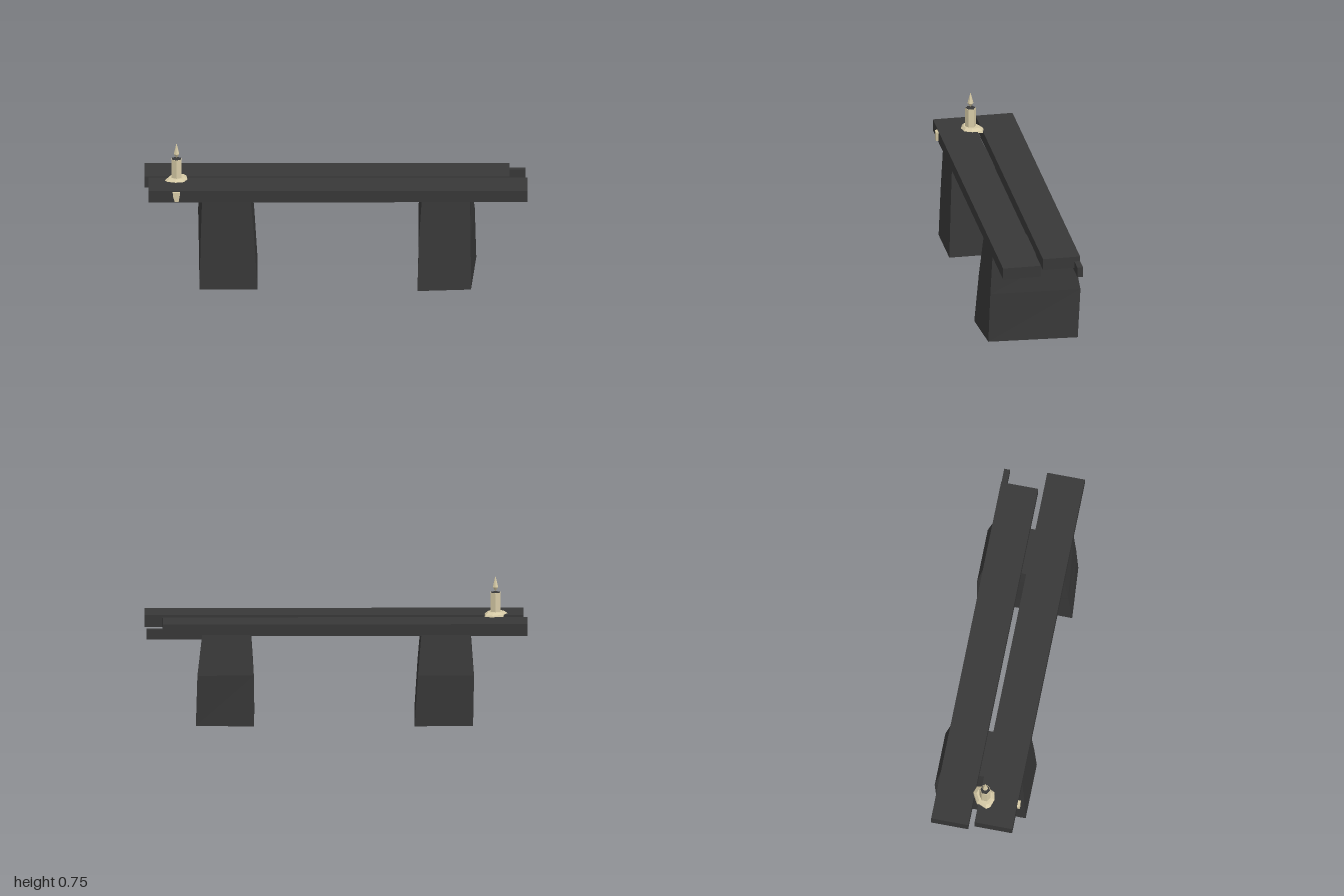
import * as THREE from 'three';

const charcoal = new THREE.MeshStandardMaterial({ color: 0x383838 });
charcoal.name = 'charcoal';
const wax = new THREE.MeshStandardMaterial({ color: 0xd6caa6 });
wax.name = 'wax';

// Mesh with flat facets
function part(name, geometry, material, x = 0, y = 0, z = 0) {
  const g = geometry.index ? geometry.toNonIndexed() : geometry;
  g.computeVertexNormals();
  const mesh = new THREE.Mesh(g, material);
  mesh.name = name;
  mesh.position.set(x, y, z);
  return mesh;
}

// Box given by its limits
function box(name, material, [x0, x1], [y0, y1], [z0, z1]) {
  return part(name, new THREE.BoxGeometry(x1 - x0, y1 - y0, z1 - z0), material,
    (x0 + x1) / 2, (y0 + y1) / 2, (z0 + z1) / 2);
}

// Closed solid through rings of [x, z] corners, counterclockwise from above
function loft(levels) {
  const n = levels[0].ring.length, pos = [], idx = [];
  for (const { y, ring } of levels) for (const [x, z] of ring) pos.push(x, y, z);
  for (let l = 0; l < levels.length - 1; l++) {
    for (let i = 0; i < n; i++) {
      const a = l * n + i, b = l * n + (i + 1) % n;
      idx.push(a, b, b + n, a, b + n, a + n);
    }
  }
  const top = (levels.length - 1) * n;
  for (let i = 1; i < n - 1; i++) {
    idx.push(0, i + 1, i);
    idx.push(top, top + i, top + i + 1);
  }
  const g = new THREE.BufferGeometry();
  g.setAttribute('position', new THREE.Float32BufferAttribute(pos, 3));
  g.setIndex(idx);
  return g;
}

export function createModel() {
  const model = new THREE.Group();
  model.name = 'bench';

  // Two offset planks and the splinter sticking out behind
  model.add(
    box('frontPlank', charcoal, [-0.98, 1], [0.48, 0.542], [0.01, 0.21]),
    box('backPlank', charcoal, [-1, 0.905], [0.474, 0.536], [-0.217, -0.02]),
    box('splinter', charcoal, [0.7, 0.99], [0.456, 0.51], [-0.217, -0.187]),
  );

  // Rough stone legs, bulging at the back
  model.add(part('rightLeg', loft([
    { y: 0, ring: [[0.425, 0.255], [0.705, 0.233], [0.733, -0.237], [0.43, -0.253]] },
    { y: 0.27, ring: [[0.433, 0.232], [0.703, 0.222], [0.725, -0.253], [0.43, -0.253]] },
    { y: 0.48, ring: [[0.447, 0.21], [0.7, 0.21], [0.7, -0.217], [0.447, -0.217]] },
  ]), charcoal));
  model.add(part('leftLeg', loft([
    { y: 0, ring: [[-0.713, 0.23], [-0.41, 0.23], [-0.41, -0.253], [-0.715, -0.24]] },
    { y: 0.27, ring: [[-0.707, 0.22], [-0.427, 0.22], [-0.427, -0.253], [-0.72, -0.253]] },
    { y: 0.48, ring: [[-0.7, 0.21], [-0.445, 0.21], [-0.445, -0.217], [-0.7, -0.217]] },
  ]), charcoal));

  // Candle in its puddle of wax
  const candle = new THREE.Group();
  candle.name = 'candle';
  candle.position.set(-0.833, 0, 0.038);
  const outline = [[-0.052, 0.038], [-0.005, 0.053], [0.04, 0.043], [0.06, 0],
    [0.055, -0.055], [0.015, -0.068], [-0.04, -0.038], [-0.065, 0.018]];
  const scaled = (s) => outline.map(([x, z]) => [x * s, z * s]);
  candle.add(part('waxPuddle', loft([
    { y: 0.534, ring: scaled(1) },
    { y: 0.544, ring: scaled(0.94) },
    { y: 0.556, ring: scaled(0.7) },
  ]), wax));
  candle.add(part('candleStick', new THREE.CylinderGeometry(0.029, 0.029, 0.137, 6), wax, 0, 0.5885, 0));
  candle.add(part('candleTop', new THREE.CylinderGeometry(0.026, 0.026, 0.003, 6), charcoal, 0, 0.657, 0));
  candle.add(part('flame', new THREE.LatheGeometry([
    new THREE.Vector2(0, 0.662), new THREE.Vector2(0.016, 0.685), new THREE.Vector2(0, 0.746),
  ], 6), wax));
  model.add(candle);

  // Wax run down the front edge, narrowing to the bottom
  const drip = new THREE.Shape([[-0.02, 0.538], [-0.018, 0.515], [-0.01, 0.488], [0.011, 0.488],
    [0.016, 0.515], [0.019, 0.538]].map(([x, y]) => new THREE.Vector2(x, y)));
  model.add(part('waxDrip', new THREE.ExtrudeGeometry(drip, { depth: 0.018, bevelEnabled: false }),
    wax, -0.833, 0, 0.206));

  return model;
}
